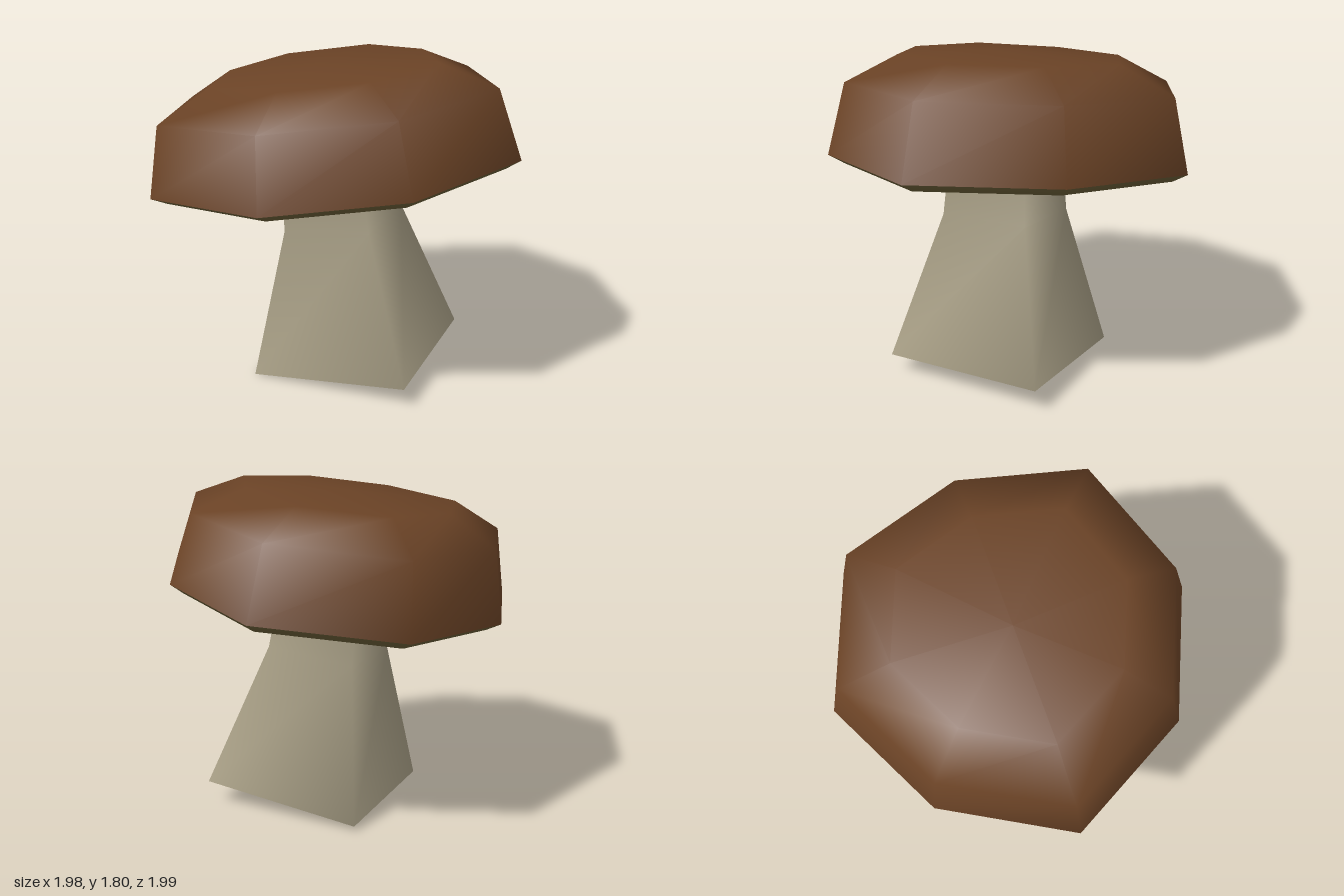
import * as THREE from 'three';

const brown = new THREE.MeshStandardMaterial({ name: 'capBrown', color: 0x6b4326, side: THREE.DoubleSide });
const olive = new THREE.MeshStandardMaterial({ name: 'gillOlive', color: 0x70633a, side: THREE.DoubleSide });
const beige = new THREE.MeshStandardMaterial({ name: 'stemBeige', color: 0xa69d84, side: THREE.DoubleSide });

// Uneven octagon of the cap and square of the stem, both starting at the front
const octagon = [[0.06, 0.99], [0.79, 0.74], [0.99, 0], [0.78, -0.72], [0.06, -1], [-0.61, -0.66], [-0.99, 0.01], [-0.62, 0.7]];
const square = [[0, 1], [1, 0], [0, -1], [-1, 0]];

// Cross-section scaled about a centre, tilted up towards +x and +z
function ring(outline, scale, x, y, z) {
  return outline.map(([u, v]) => [x + u * scale, y + (0.1 * u + 0.065 * v) * scale, z + v * scale]);
}

// Smooth skin over rings; a ring of one point closes the end
function loft(name, material, rings) {
  const start = [];
  let count = 0;
  for (const r of rings) {
    start.push(count);
    count += r.length;
  }
  const index = [];
  for (let k = 0; k < rings.length - 1; k++) {
    const n = rings[k].length, m = rings[k + 1].length;
    for (let j = 0; j < n; j++) {
      const a = start[k] + j, b = start[k] + (j + 1) % n;
      const c = start[k + 1] + (j + 1) % m, d = start[k + 1] + j % m;
      index.push(a, b, c);
      if (c !== d) index.push(a, c, d);
    }
  }
  const geometry = new THREE.BufferGeometry();
  geometry.setAttribute('position', new THREE.Float32BufferAttribute(rings.flat(2), 3));
  geometry.setIndex(index);
  geometry.computeVertexNormals();
  const mesh = new THREE.Mesh(geometry, material);
  mesh.name = name;
  return mesh;
}

export function createModel() {
  const group = new THREE.Group();
  group.name = 'mushroom';
  const rim = ring(octagon, 1, 0, 1.2, 0);

  // Hollow domed cap
  group.add(loft('cap', brown, [
    rim,
    ring(octagon, 0.91, -0.03, 1.577, -0.02),
    ring(octagon, 0.62, -0.035, 1.722, -0.02),
    [[-0.035, 1.745, -0.02]],
  ]));

  // Underside with an open centre and a bevelled lip
  group.add(loft('gills', olive, [
    ring(octagon, 0.4, 0.02, 1.178, 0.01),
    ring(octagon, 0.92, 0.01, 1.155, 0),
    rim,
  ]));

  // Open, flared four-sided stem
  group.add(loft('stem', beige, [
    ring(square, 0.635, 0.17, 0.068, 0.085),
    ring(square, 0.355, 0.095, 0.865, 0.035),
    ring(square, 0.325, 0.06, 1.2, 0.017),
  ]));
  return group;
}
